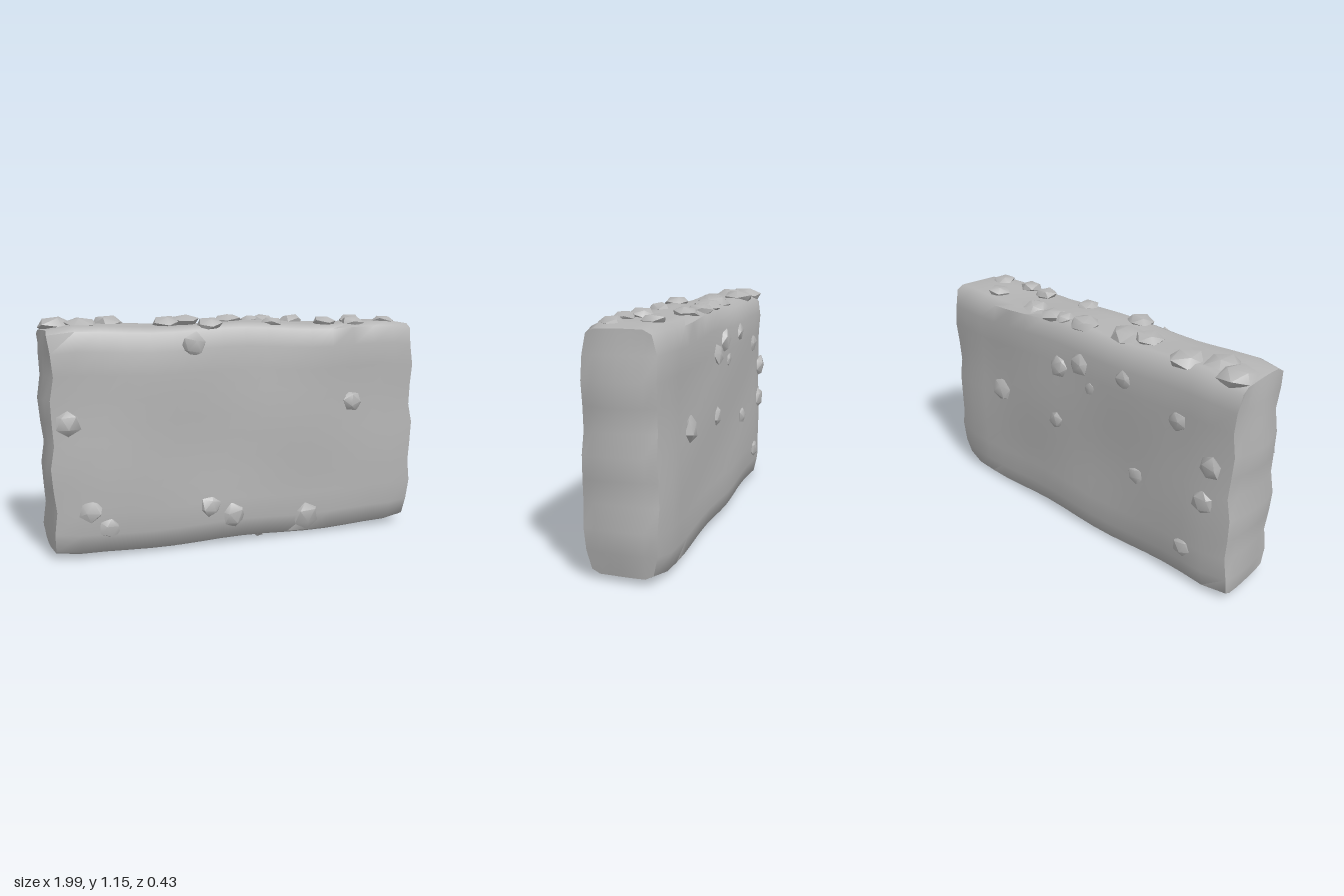
import * as THREE from 'three';
import { toCreasedNormals, mergeVertices } from 'three/addons/utils/BufferGeometryUtils.js';

const stone = new THREE.MeshStandardMaterial({ color: 0xb4b4b4 });
stone.name = 'grey stone';

// Seeded random numbers for the small irregularities
let seed = 11;
function rand() {
  seed = (seed * 16807) % 2147483647;
  return seed / 2147483647;
}

// Worn slab: a box rounded in its cross-section, with uneven faces
function createSlab() {
  const HX = 0.955, HY = 0.55, HZ = 0.187, R = 0.07;
  const geo = new THREE.BoxGeometry(2 * HX, 2 * HY, 2 * HZ, 16, 10, 6);
  const pos = geo.attributes.position;
  const p = new THREE.Vector3();
  for (let i = 0; i < pos.count; i++) {
    p.fromBufferAttribute(pos, i);
    const atEnd = Math.abs(p.x) > HX - 0.001;
    const s = Math.sign(p.x);
    // round the long edges
    const cy = THREE.MathUtils.clamp(p.y, -HY + R, HY - R);
    const cz = THREE.MathUtils.clamp(p.z, -HZ + R, HZ - R);
    const dy = p.y - cy, dz = p.z - cz;
    const d = Math.hypot(dy, dz);
    const k = d > R ? R / d : 1;
    let y = cy + dy * k, z = cz + dz * k;
    let x = p.x;
    if (atEnd) {
      // bulging, wavy end faces with a narrower outline
      const inner = Math.max(0, 1 - (z / HZ) ** 2) * Math.max(0, 1 - (y / HY) ** 6);
      x += s * (0.028 * inner + 0.01 * Math.sin(19 * y + 2 * s) + 0.005 * Math.sin(13 * z + 7 * y));
      z *= 0.88;
      y *= 0.975;
    }
    // gentle waves on the large faces and along the edges
    z += 0.007 * Math.sin(6 * x + 3 * y) * Math.cos(7 * y - 2 * x) * Math.sign(z);
    y += 0.008 * Math.sin(7.5 * x + 1 + 5 * z) - (y > 0 ? 0.01 * Math.max(0, x) : 0);
    pos.setXYZ(i, x, y + 0.572, z);
  }
  geo.deleteAttribute('normal');
  geo.deleteAttribute('uv');
  const mesh = new THREE.Mesh(toCreasedNormals(mergeVertices(geo, 1e-4), 0.95), stone);
  mesh.name = 'slab';
  return mesh;
}

// Flattened angular pebble whose short axis is y
function pebbleGeometry(radius) {
  let geo = new THREE.IcosahedronGeometry(1, 0);
  geo.deleteAttribute('normal');
  geo.deleteAttribute('uv');
  geo.rotateX(Math.atan2(1.618, 1) - Math.PI / 2 + Math.atan2(1, 1.618) - 0.55357);
  geo = mergeVertices(geo, 1e-4);
  const pos = geo.attributes.position;
  for (let i = 0; i < pos.count; i++) {
    const j = 0.92 + 0.22 * rand();
    pos.setXYZ(i, pos.getX(i) * j * radius, pos.getY(i) * j * radius * 0.5, pos.getZ(i) * j * radius);
  }
  return toCreasedNormals(geo, 0.75);
}

// Places one pebble so its short axis points along the face normal
function addPebble(parent, name, x, y, z, r, normal) {
  const holder = new THREE.Group();
  holder.position.set(x, y, z);
  holder.quaternion.setFromUnitVectors(new THREE.Vector3(0, 1, 0), normal);
  const mesh = new THREE.Mesh(pebbleGeometry(r), stone);
  mesh.name = name;
  mesh.rotation.set((rand() - 0.5) * 0.25, rand() * 6.28, (rand() - 0.5) * 0.25);
  holder.add(mesh);
  parent.add(holder);
}

// Top pebbles: x, z, radius
const TOP = [
  [-0.89, -0.09, 0.09], [-0.77, -0.03, 0.085], [-0.63, -0.1, 0.085], [-0.35, -0.03, 0.07],
  [-0.25, -0.07, 0.08], [-0.17, 0.12, 0.07], [0, -0.1, 0.075], [0.13, -0.11, 0.055],
  [0.2, -0.12, 0.07], [0.17, 0.09, 0.06], [0.36, -0.1, 0.065], [0.69, -0.06, 0.06],
  [0.475, 0.075, 0.06], [0.62, 0.105, 0.06], [0.82, 0.075, 0.06],
];
// Front and back pebbles: x, y, radius
const FRONT = [
  [-0.27, 1.03, 0.062], [-0.885, 0.69, 0.062], [0.595, 0.71, 0.056], [-0.79, 0.26, 0.06],
  [-0.7, 0.165, 0.053], [-0.19, 0.225, 0.057], [-0.07, 0.165, 0.067], [0.34, 0.12, 0.072],
];
const BACK = [
  [0.56, 0.62, 0.07], [0.1, 0.9, 0.06], [-0.04, 0.95, 0.06], [-0.11, 0.84, 0.035],
  [0.13, 0.59, 0.055], [-0.34, 0.96, 0.055], [-0.66, 0.86, 0.055], [-0.42, 0.485, 0.045],
  [-0.85, 0.7, 0.062], [-0.82, 0.51, 0.062], [-0.72, 0.22, 0.055],
];
// Underside pebbles: x, z, radius
const UNDER = [[0.1, 0.1, 0.035], [-0.36, 0.1, 0.035]];

export function createModel() {
  const model = new THREE.Group();
  model.name = 'stoneWall';
  model.add(createSlab());

  const up = new THREE.Vector3(0, 1, 0);
  const down = new THREE.Vector3(0, -1, 0);
  const front = new THREE.Vector3(0, 0, 1);
  const back = new THREE.Vector3(0, 0, -1);
  for (const [x, z, r] of TOP) addPebble(model, 'topPebble', x, 1.125 - 0.01 * Math.max(0, x), z, r, up);
  for (const [x, y, r] of FRONT) addPebble(model, 'frontPebble', x, y, 0.183, r, front);
  for (const [x, y, r] of BACK) addPebble(model, 'backPebble', x, y, -0.183, r, back);
  for (const [x, z, r] of UNDER) addPebble(model, 'undersidePebble', x, 0.03, z, r, down);
  return model;
}
